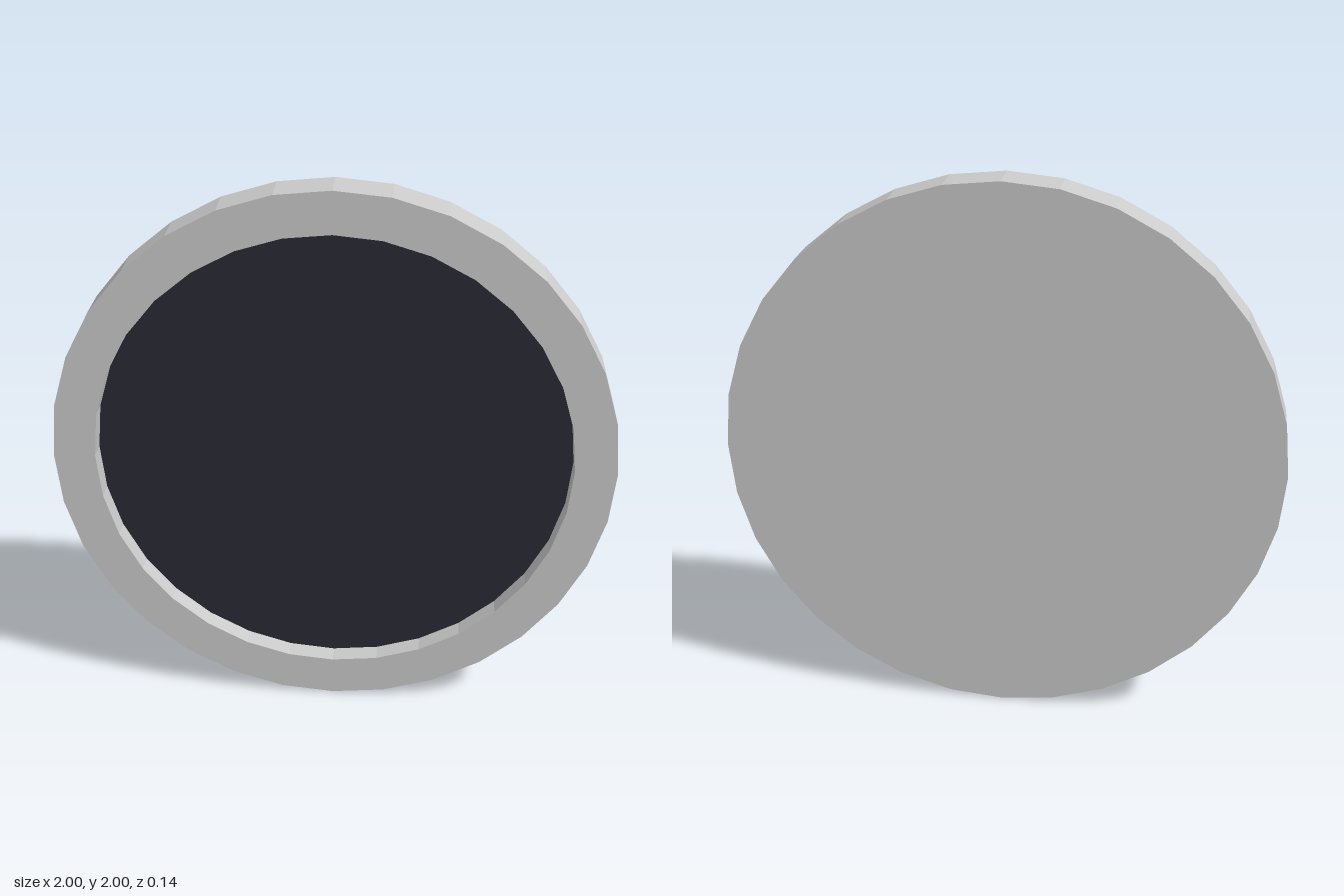
import * as THREE from 'three';

const SIDES = 32, RADIUS = 1, INNER = 0.85, HALF = 0.072;
const STEP = (Math.PI * 2) / SIDES;

export function createModel() {
  const model = new THREE.Group();
  model.name = 'roundPanel';
  const grey = new THREE.MeshStandardMaterial({ color: 0xcccccc, flatShading: true, side: THREE.DoubleSide });
  const dark = new THREE.MeshStandardMaterial({ color: 0x2a2a36, flatShading: true, side: THREE.DoubleSide });

  const add = (name, geometry, material, z) => {
    const mesh = new THREE.Mesh(geometry, material);
    mesh.name = name;
    mesh.position.set(0, RADIUS, z);
    model.add(mesh);
    return mesh;
  };
  // Open faceted band around the z axis; angles run from the bottom towards +x
  const band = (radius, depth, first = 0, count = SIDES) =>
    new THREE.CylinderGeometry(radius, radius, depth, count, 1, true, first * STEP, count * STEP)
      .rotateX(Math.PI / 2);

  // Outer wall, with one facet left open low on the left side
  add('outerRim', band(RADIUS, HALF * 2, 3, SIDES - 1), grey, 0);

  // Front frame and the wall stepping back to the recessed face
  add('frontFrame', new THREE.RingGeometry(INNER, RADIUS, SIDES, 1), grey, HALF);
  add('recessWall', band(INNER, HALF), grey, HALF / 2);
  add('darkFace', new THREE.CircleGeometry(INNER, SIDES), dark, 0);

  // Flat back
  add('backPlate', new THREE.CircleGeometry(RADIUS, SIDES).rotateY(Math.PI), grey, -HALF);

  return model;
}
